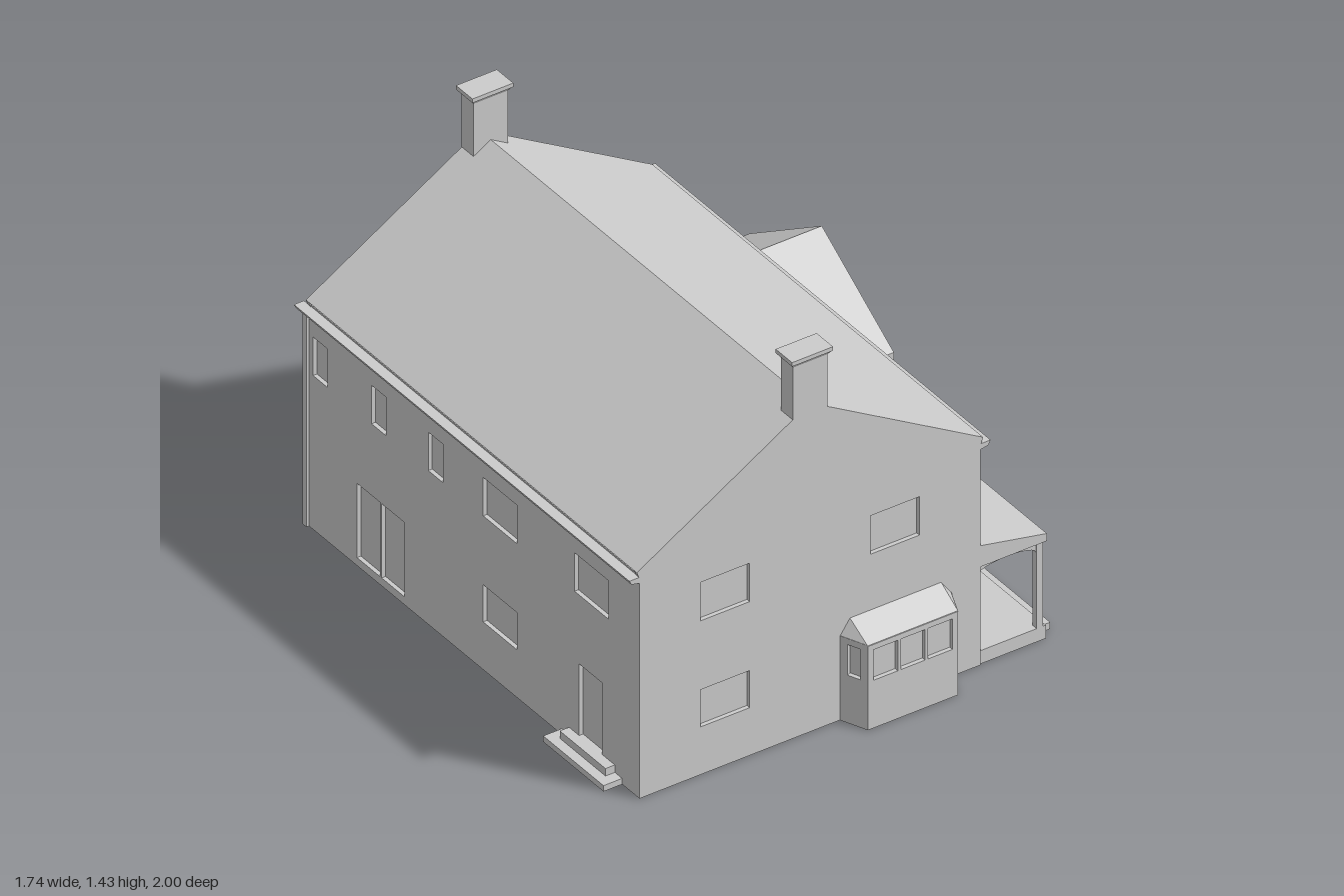
import * as THREE from 'three';
import { ConvexGeometry } from 'three/addons/geometries/ConvexGeometry.js';

const material = new THREE.MeshStandardMaterial({ color: 0xcccccc, flatShading: true });

function add(parent, name, geometry, x = 0, y = 0, z = 0, ry = 0) {
  const mesh = new THREE.Mesh(geometry, material);
  mesh.name = name;
  mesh.position.set(x, y, z);
  mesh.rotation.y = ry;
  parent.add(mesh);
  return mesh;
}

// Box given by its limits on each axis
function box(parent, name, [x0, x1], [y0, y1], [z0, z1]) {
  return add(parent, name, new THREE.BoxGeometry(x1 - x0, y1 - y0, z1 - z0),
    (x0 + x1) / 2, (y0 + y1) / 2, (z0 + z1) / 2);
}

const shapeOf = (points) => new THREE.Shape(points.map((p) => new THREE.Vector2(...p)));
const rect = (u0, u1, v0, v1) => [[u0, v0], [u1, v0], [u1, v1], [u0, v1]];

function extrude(points, depth, holes = []) {
  const shape = shapeOf(points);
  shape.holes = holes.map((h) => new THREE.Path(h.map((p) => new THREE.Vector2(...p))));
  return new THREE.ExtrudeGeometry(shape, { depth, bevelEnabled: false, curveSegments: 8 });
}

const SKIN = 0.015; // depth of window and door recesses

// Outer wall layer with openings; its outer face lies on local z = 0
function skin(parent, name, points, holes, x, z, ry) {
  const geometry = extrude(points, SKIN, holes);
  geometry.translate(0, 0, -SKIN);
  return add(parent, name, geometry, x, 0, z, ry);
}

// Chimney with a flared cap
function chimney(parent, z) {
  const g = new THREE.Group();
  g.name = 'chimney';
  g.position.set(-0.1575, 0, z);
  parent.add(g);
  box(g, 'chimneyStack', [-0.065, 0.065], [1.17, 1.41], [-0.033, 0.033]);
  const flare = new THREE.BoxGeometry(0.15, 0.015, 0.085);
  const p = flare.attributes.position;
  for (let i = 0; i < p.count; i++) {
    if (p.getY(i) < 0) p.setXYZ(i, p.getX(i) * 0.87, p.getY(i), p.getZ(i) * 0.78);
  }
  flare.computeVertexNormals();
  add(g, 'chimneyFlare', flare, 0, 1.4075, 0);
  box(g, 'chimneyCap', [-0.077, 0.077], [1.415, 1.43], [-0.045, 0.045]);
}

// Bay window with a hipped roof, projecting along local +z
function bay(parent, x, z, ry) {
  const g = new THREE.Group();
  g.name = 'bayWindow';
  g.position.set(x, 0, z);
  g.rotation.y = ry;
  parent.add(g);
  const core = extrude([[-0.192, 0], [-0.16, -0.08], [0.16, -0.08], [0.192, 0]], 0.318);
  core.rotateX(-Math.PI / 2);
  add(g, 'bayCore', core);
  const panes = [-0.103, 0, 0.103].map((c) => rect(c - 0.046, c + 0.046, 0.18, 0.295));
  skin(g, 'bayFront', rect(-0.17, 0.17, 0, 0.318), panes, 0, 0.095, 0);
  for (const s of [-1, 1]) {
    skin(g, 'baySide', rect(-0.0515, 0.0515, 0, 0.318), [rect(-0.024, 0.024, 0.18, 0.295)],
      s * 0.19, 0.0475, s * Math.atan2(0.095, 0.04));
  }
  const corners = [];
  for (const s of [-1, 1]) {
    corners.push(new THREE.Vector3(s * 0.21, 0.316, 0), new THREE.Vector3(s * 0.17, 0.316, 0.096),
      new THREE.Vector3(s * 0.172, 0.37, 0));
  }
  add(g, 'bayRoof', new ConvexGeometry(corners));
}

// Beam with an arched underside spanning u0..u1
function archBeam(u0, u1) {
  const points = [[u0, 0.38], [u0, 0.335]];
  for (let i = 1; i < 12; i++) {
    const a = Math.PI * (1 - i / 12);
    points.push([(u0 + u1) / 2 + Math.cos(a) * (u1 - u0) / 2, 0.335 + 0.028 * Math.sin(a)]);
  }
  points.push([u1, 0.335], [u1, 0.38]);
  const geometry = extrude(points, 0.015);
  geometry.translate(0, 0, -0.0075);
  return geometry;
}

function mainHouse(model) {
  const g = new THREE.Group();
  g.name = 'mainHouse';
  model.add(g);
  const L = -0.8, R = 0.485, Z = 0.905, C = (L + R) / 2;

  // Solid core including the pitched roof
  const profile = (inset) => [[L + inset, 0], [R - inset, 0], [R - inset, 0.83], [R + 0.01, 0.855],
    [C, 1.24], [L - 0.01, 0.855], [L + inset, 0.83]];
  add(g, 'houseCoreAndRoof', extrude(profile(SKIN), 2 * (Z - SKIN)), 0, 0, -(Z - SKIN));

  // Gable walls
  const upper = (a, b) => rect(a, b, 0.58, 0.725);
  const lower = (a, b) => rect(a, b, 0.18, 0.32);
  skin(g, 'frontWall', profile(0),
    [upper(-0.57, -0.385), upper(0.07, 0.255), lower(-0.57, -0.385)], 0, Z, 0);
  skin(g, 'backWall', profile(0).map(([x, y]) => [-x, y]).reverse(),
    [upper(-0.24, -0.06), upper(0.39, 0.57), rect(-0.195, -0.1, 0.18, 0.32)], 0, -Z, Math.PI);

  // Long walls
  const long = rect(-Z + SKIN, Z - SKIN, 0, 0.84);
  skin(g, 'leftWall', long, [
    upper(-0.745, -0.56), upper(-0.235, -0.05), upper(0.15, 0.23), upper(0.79, 0.865),
    lower(-0.235, -0.05), rect(-0.775, -0.72, 0.065, 0.31), rect(-0.71, -0.595, 0.065, 0.31),
    rect(-0.585, -0.53, 0.065, 0.31)], R, 0, Math.PI / 2);
  skin(g, 'rightWall', long, [
    upper(-0.88, -0.8), upper(-0.56, -0.48), upper(-0.25, -0.17), upper(0.05, 0.235),
    upper(0.55, 0.735), lower(0.05, 0.235), rect(-0.64, -0.515, 0.03, 0.31),
    rect(-0.505, -0.38, 0.03, 0.31), rect(0.575, 0.7, 0.05, 0.32)], L, 0, -Math.PI / 2);
  add(g, 'doorKnob', new THREE.SphereGeometry(0.005, 8, 6), R - 0.012, 0.17, 0.695);

  // Gutters and downpipes
  for (const s of [-1, 1]) {
    const x = C + s * (R - C);
    const points = [[0, 0.812], [0.03, 0.818], [0.038, 0.834], [0, 0.834]].map(([u, y]) => [x + s * u, y]);
    add(g, 'gutter', extrude(points, 1.835), 0, 0, -0.93);
    box(g, 'downpipe', [x - 0.01, x + 0.01], [0, 0.815], [-0.922, -0.902]);
  }
  chimney(g, 0.874);
  chimney(g, -0.874);
  bay(g, 0.165, Z, 0);
  bay(g, -0.475, -Z, Math.PI);

  // Side door steps
  box(g, 'lowerStep', [-0.87, -0.79], [0, 0.022], [0.48, 0.81]);
  box(g, 'upperStep', [-0.835, -0.79], [0.022, 0.05], [0.52, 0.77]);
}

function garage(model) {
  const g = new THREE.Group();
  g.name = 'garageWing';
  model.add(g);
  // Local u runs towards -z
  const gable = [[0.12, 0], [0.908, 0], [0.908, 0.447], [0.514, 0.7], [0.12, 0.447]];
  const core = extrude(gable, 0.38);
  core.translate(0, 0, -0.38);
  add(g, 'garageCoreAndRoof', core, 0.85, 0, 0, Math.PI / 2);
  skin(g, 'garageFront', gable, [rect(0.2, 0.815, 0.002, 0.35),
    [[0.155, 0.463], [0.873, 0.463], [0.514, 0.685]]], 0.865, 0, Math.PI / 2);
}

function porch(model) {
  const g = new THREE.Group();
  g.name = 'porch';
  model.add(g);
  box(g, 'porchDeck', [0.475, 0.735], [0, 0.05], [-0.125, 0.9]);
  box(g, 'porchStep', [0.73, 0.775], [0, 0.025], [0.43, 0.865]);
  add(g, 'porchRoof', extrude([[0.475, 0.37], [0.735, 0.37], [0.735, 0.398], [0.475, 0.452]], 1.03), 0, 0, -0.125);

  // Posts with arched beams between them
  const posts = [0.888, 0.422, 0.15, -0.11];
  for (const z of posts) box(g, 'porchPost', [0.7, 0.724], [0.05, 0.372], [z - 0.012, z + 0.012]);
  for (let i = 0; i < 3; i++) {
    add(g, 'porchArch', archBeam(-posts[i] + 0.012, -posts[i + 1] - 0.012), 0.712, 0, 0, Math.PI / 2);
  }
  add(g, 'porchEndArch', archBeam(0.48, 0.7), 0, 0, 0.888);

  // Railing along the two rear bays
  for (let i = 1; i < 3; i++) {
    const a = posts[i], b = posts[i + 1];
    box(g, 'handrail', [0.702, 0.722], [0.155, 0.167], [b, a]);
    for (const t of [1 / 3, 2 / 3]) {
      const z = a + (b - a) * t;
      box(g, 'baluster', [0.703, 0.721], [0.05, 0.158], [z - 0.008, z + 0.008]);
    }
  }
}

export function createModel() {
  const model = new THREE.Group();
  model.name = 'house';
  mainHouse(model);
  garage(model);
  porch(model);
  return model;
}
